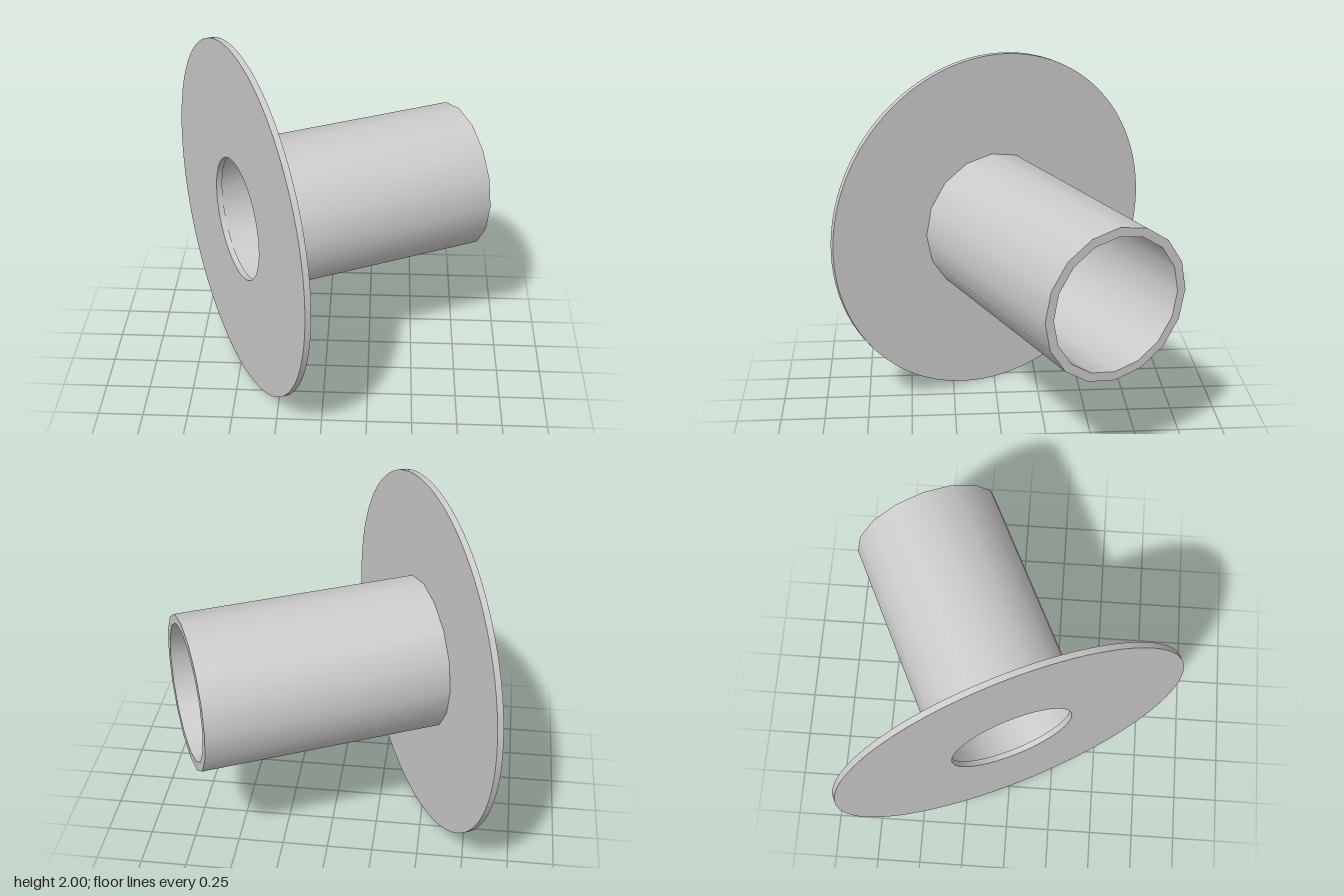
import * as THREE from 'three';
import { toCreasedNormals } from 'three/addons/utils/BufferGeometryUtils.js';

// Hollow ring of rectangular section, running along +x from x = 0
function ring(name, outer, inner, length, sides) {
  const profile = [
    [inner, 0], [outer, 0], [outer, length], [inner, length], [inner, 0],
  ].map(([r, h]) => new THREE.Vector2(r, h));
  const geometry = new THREE.LatheGeometry(profile, sides).rotateZ(-Math.PI / 2);
  const mesh = new THREE.Mesh(
    toCreasedNormals(geometry, 0.6),
    new THREE.MeshStandardMaterial({ color: 0xcccccc })
  );
  mesh.name = name;
  return mesh;
}

export function createModel() {
  const model = new THREE.Group();
  model.name = 'flangedTube';
  const thickness = 0.033;

  // Thin round plate with a central hole
  const flange = ring('flange', 1, 0.346, thickness, 96);

  // Sixteen-sided open tube standing on the plate, slightly off its centre
  const tube = ring('tube', 0.42, 0.371, 1.312, 16);
  tube.position.set(thickness, 0.006, 0.01);

  // Turn the axis towards the back left
  const body = new THREE.Group();
  body.name = 'body';
  body.add(flange, tube);
  body.rotation.y = THREE.MathUtils.degToRad(25.4);
  body.position.set(-0.488, 1, 0.018);
  model.add(body);
  return model;
}
